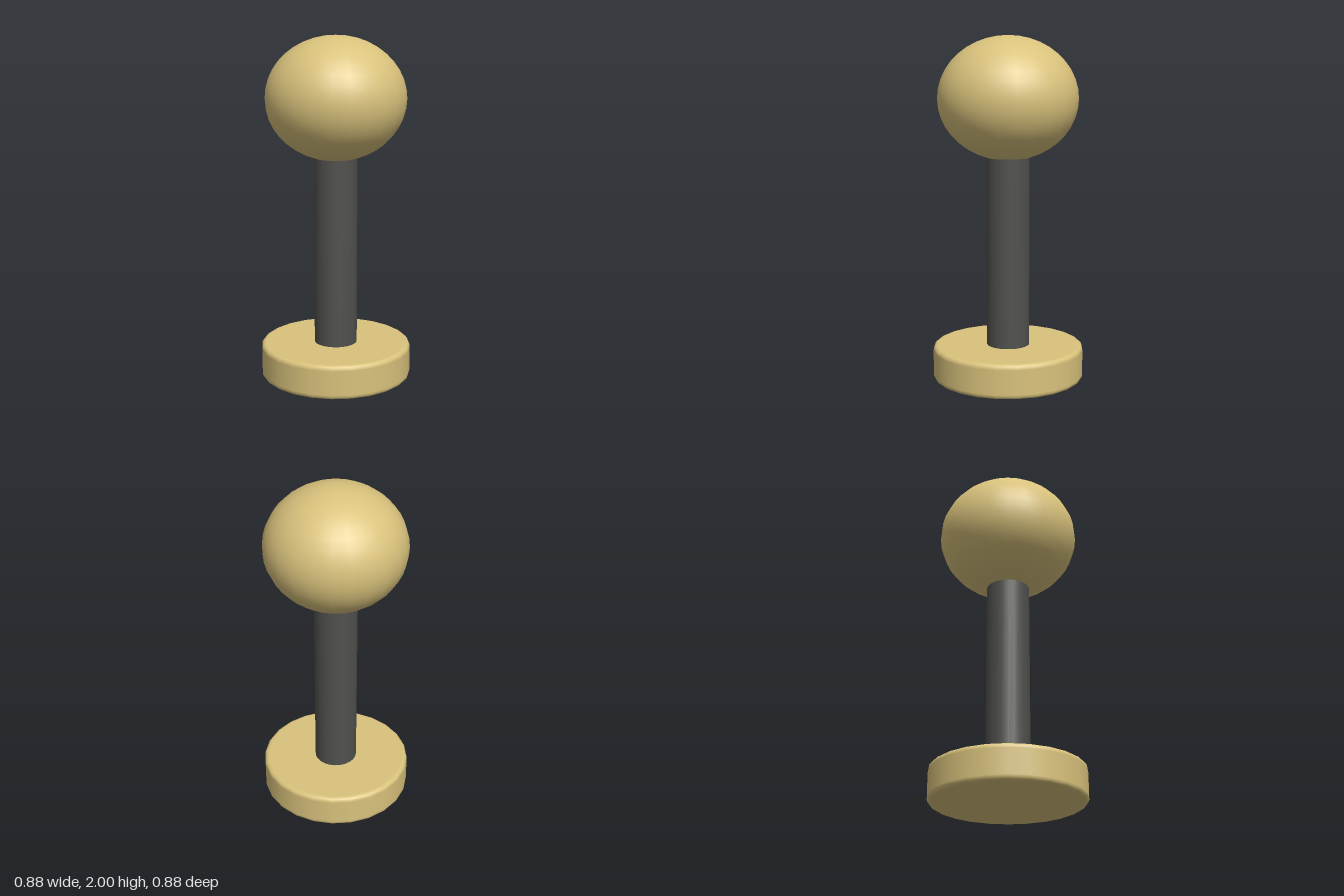
import * as THREE from 'three';

const SIDES = 24;
const brass = new THREE.MeshStandardMaterial({ color: 0xd9c27c });
const darkSteel = new THREE.MeshStandardMaterial({ color: 0x50514d });

// Disc with rounded rims; the extra points beside each rim keep the flats flat
function discProfile(radius, height, round) {
  const pts = [new THREE.Vector2(0, 0), new THREE.Vector2(radius - round - 0.005, 0)];
  const corner = (cy, start) => {
    for (let i = 0; i <= 4; i++) {
      const a = start + (i / 4) * Math.PI / 2;
      pts.push(new THREE.Vector2(radius - round + round * Math.cos(a), cy + round * Math.sin(a)));
    }
  };
  corner(round, -Math.PI / 2);
  pts.push(new THREE.Vector2(radius, round + 0.005), new THREE.Vector2(radius, height - round - 0.005));
  corner(height - round, 0);
  pts.push(new THREE.Vector2(radius - round - 0.005, height), new THREE.Vector2(0, height));
  return pts;
}

export function createModel() {
  const group = new THREE.Group();
  const add = (name, geometry, material, y) => {
    const mesh = new THREE.Mesh(geometry, material);
    mesh.name = name;
    mesh.position.y = y;
    group.add(mesh);
    return mesh;
  };

  // Flat disc backing
  add('base', new THREE.LatheGeometry(discProfile(0.44, 0.2, 0.024), SIDES), brass, 0);

  // Straight bar between the disc and the ball
  add('shaft', new THREE.CylinderGeometry(0.125, 0.125, 1.16, SIDES), darkSteel, 0.76);

  // Slightly flattened ball
  const ball = add('ball', new THREE.SphereGeometry(1, SIDES, 20), brass, 1.644);
  ball.scale.set(0.405, 0.356, 0.405);

  return group;
}
